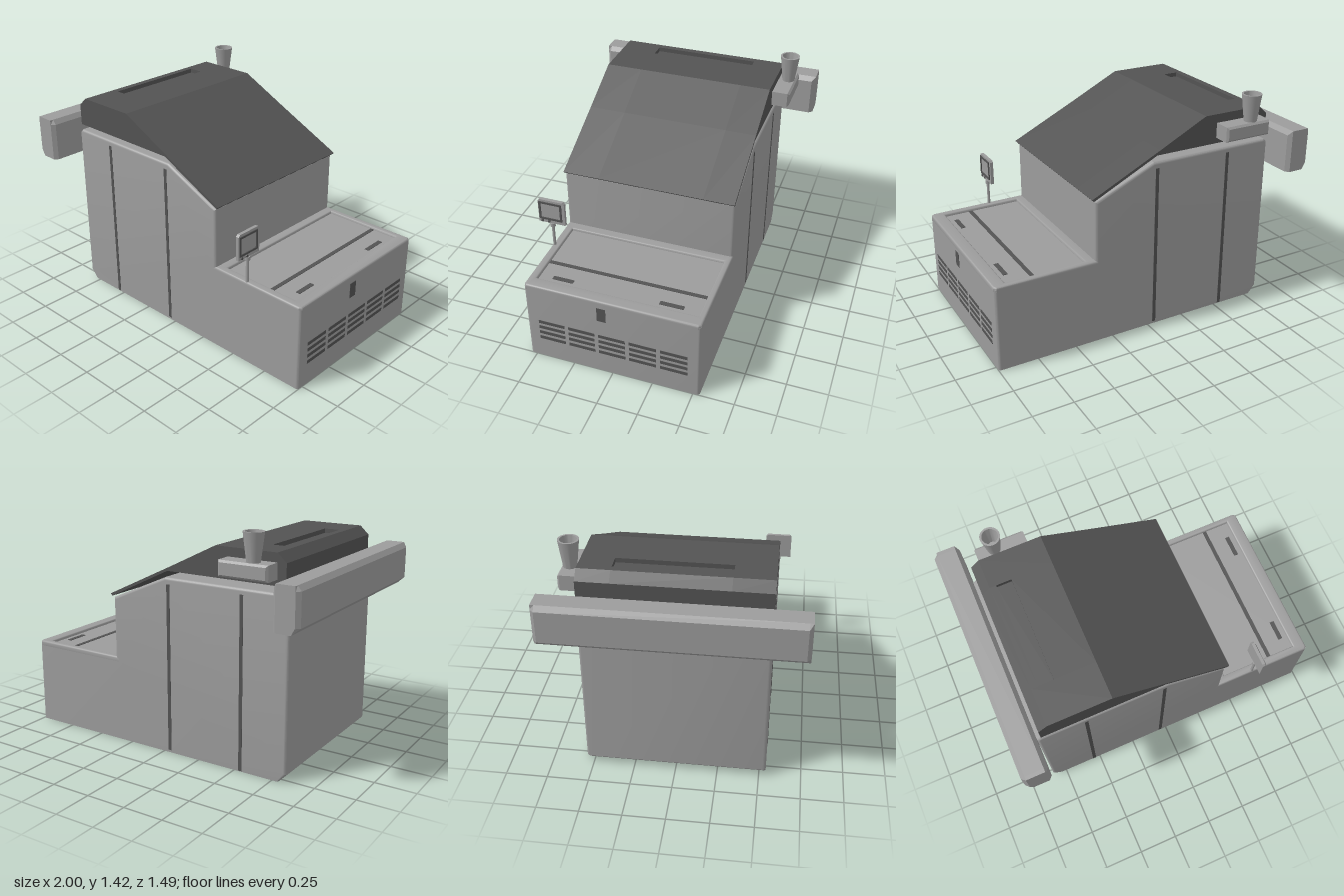
import * as THREE from 'three';
import { toCreasedNormals } from 'three/addons/utils/BufferGeometryUtils.js';

const shell = new THREE.MeshStandardMaterial({ color: 0x9c9c9c });
shell.name = 'light grey';
const dark = new THREE.MeshStandardMaterial({ color: 0x535353 });
dark.name = 'dark grey';

const outline = (points) => new THREE.Shape(points.map(([x, y]) => new THREE.Vector2(x, y)));
const rect = (x0, y0, x1, y1) => [[x0, y0], [x1, y0], [x1, y1], [x0, y1]];

function createModel() {
  const model = new THREE.Group();
  model.name = 'machine';

  const add = (name, geometry, material, parent = model) => {
    const mesh = new THREE.Mesh(geometry, material);
    mesh.name = name;
    parent.add(mesh);
    return mesh;
  };
  // Box given by its limits on each axis
  const block = (name, [x0, x1], [y0, y1], [z0, z1], material, parent) =>
    add(name, new THREE.BoxGeometry(x1 - x0, y1 - y0, z1 - z0), material, parent)
      .position.set((x0 + x1) / 2, (y0 + y1) / 2, (z0 + z1) / 2);
  // Side profile extruded from z0 to z1
  const slab = (points, z0, z1) =>
    new THREE.ExtrudeGeometry(outline(points), { depth: z1 - z0, bevelEnabled: false }).translate(0, 0, z0);

  // Body: stepped profile with rounded side edges, flat underside and deck
  const b = 0.018, deckY = 0.528;
  let body = new THREE.ExtrudeGeometry(outline([
    [-0.84, 0.05], [-0.79, 0], [1, 0], [1, deckY], [0.365, deckY],
    [0.365, 0.92], [-0.02, 1.09], [-0.82, 1.09], [-0.84, 1.07],
  ]), { depth: 1.08 - 2 * b, bevelThickness: b, bevelSize: b, bevelOffset: -b, bevelSegments: 5 });
  body.translate(0, 0, b - 0.54);
  const p = body.attributes.position;
  for (let i = 0; i < p.count; i++) {
    const y = p.getY(i);
    if (y < b + 0.002) p.setY(i, 0);
    else if (p.getX(i) > 0.34 && Math.abs(y - deckY) < b + 0.002) p.setY(i, deckY);
  }
  add('body', toCreasedNormals(body, 0.35), shell);

  // Deck rim around the sunken service panel
  const rim = outline([[0.34, -0.54], [0.985, -0.54], [1, -0.525], [1, 0.525], [0.985, 0.54], [0.34, 0.54]]);
  rim.holes.push(new THREE.Path(rect(0.42, -0.49, 0.92, 0.5).map(([x, y]) => new THREE.Vector2(x, y))));
  const rimB = 0.012;
  const rimGeometry = new THREE.ExtrudeGeometry(rim, {
    depth: 0.02, bevelThickness: rimB, bevelSize: rimB, bevelOffset: -rimB, bevelSegments: 3,
  });
  rimGeometry.rotateX(-Math.PI / 2).translate(0, 0.545 - 0.02 - rimB, 0);
  add('deckRim', toCreasedNormals(rimGeometry, 0.6), shell);
  block('deckSeam', [0.735, 0.76], [deckY - 0.002, deckY + 0.003], [-0.5, 0.49], dark);
  for (const z of [[-0.4, -0.255], [0.28, 0.41]]) {
    block('deckHandle', [0.86, 0.888], [deckY - 0.002, deckY + 0.003], z, dark);
  }

  // Vertical panel seams on both sides
  for (const side of [-1, 1]) {
    for (const [x, y0, y1] of [[-0.54, 0.004, 1.055], [-0.043, 0.015, 1.05]]) {
      block('panelSeam', [x - 0.011, x + 0.011], [y0, y1], [side * 0.54 - 0.002, side * 0.54 + 0.002], dark);
    }
  }

  // Vent slots and latch on the end face
  const vents = new THREE.Group();
  vents.name = 'vents';
  model.add(vents);
  for (const y of [0.151, 0.193, 0.234, 0.275]) {
    for (let col = -2; col <= 2; col++) {
      const z = col * 0.191;
      block('ventSlot', [0.998, 1.002], [y - 0.011, y + 0.011], [z - 0.083, z + 0.083], dark, vents);
    }
  }
  block('latch', [0.998, 1.002], [0.397, 0.494], [0.03, 0.085], dark);

  // Hood: constant section, notched between z = -0.35 and 0.31
  const hoodProfile = (notch) => [
    [-0.815, 1.13], [-0.04, 1.13], [0.375, 0.928], [0.387, 0.941], [-0.06, 1.158], [-0.37, 1.312],
    ...notch, [-0.76, 1.312], [-0.815, 1.26],
  ];
  const notch = [[-0.625, 1.312], [-0.625, 1.285], [-0.72, 1.285], [-0.72, 1.312]];
  add('hoodFront', slab(hoodProfile([]), 0.31, 0.54), dark);
  add('hoodMiddle', slab(hoodProfile(notch), -0.35, 0.31), dark);
  add('hoodBack', slab(hoodProfile([]), -0.54, -0.35), dark);

  // Cross beam with its vertical end edges chamfered
  const beam = new THREE.ExtrudeGeometry(outline([
    [-1, 0.975], [-0.955, 0.935], [-0.84, 0.935], [-0.84, 1.168],
    [-0.862, 1.197], [-0.975, 1.197], [-1, 1.168],
  ]), { depth: 3, steps: 3, bevelEnabled: false });
  const q = beam.attributes.position;
  const stations = [-0.745, -0.722, 0.722, 0.745];
  for (let i = 0; i < q.count; i++) {
    const step = Math.round(q.getZ(i));
    q.setZ(i, stations[step]);
    if (step % 3 === 0) q.setX(i, THREE.MathUtils.clamp(q.getX(i), -0.977, -0.861));
  }
  beam.computeVertexNormals();
  add('crossBeam', beam, shell);

  // Exhaust box and flared stack
  add('exhaustBox', new THREE.ExtrudeGeometry(outline(rect(-0.76, 1.165, -0.45, 1.258)), {
    depth: 0.1, bevelThickness: 0.012, bevelSize: 0.012, bevelOffset: -0.012, bevelSegments: 1,
  }).translate(0, 0, -0.638), shell);
  const stack = new THREE.LatheGeometry([
    [0.038, 1.25], [0.06, 1.425], [0.048, 1.425], [0.028, 1.3], [0, 1.3],
  ].map(([r, y]) => new THREE.Vector2(r, y)), 32);
  add('exhaustStack', toCreasedNormals(stack, 0.6), shell).position.set(-0.648, 0, -0.6);

  // Control panel on its post
  const panel = new THREE.Group();
  panel.name = 'controlPanel';
  model.add(panel);
  add('post', new THREE.CylinderGeometry(0.009, 0.009, 0.19, 16), shell, panel).position.set(0.601, 0.625, 0.528);
  add('postCollar', new THREE.CylinderGeometry(0.016, 0.016, 0.024, 16), shell, panel).position.set(0.601, 0.697, 0.528);
  // Shapes here are drawn as (-z, y) and turned to face +x
  const facing = (shape, depth, x) =>
    new THREE.ExtrudeGeometry(shape, { depth, bevelEnabled: false }).rotateY(Math.PI / 2).translate(x, 0, 0);
  add('panelCase', facing(outline([
    [-0.612, 0.712], [-0.44, 0.712], [-0.44, 0.862], [-0.452, 0.874], [-0.6, 0.874], [-0.612, 0.862],
  ]), 0.02, 0.591), shell, panel);
  const bezel = outline(rect(-0.606, 0.736, -0.458, 0.86));
  bezel.holes.push(new THREE.Path(rect(-0.594, 0.748, -0.47, 0.848).map(([x, y]) => new THREE.Vector2(x, y))));
  add('screenBezel', facing(bezel, 0.007, 0.61), dark, panel);
  for (const z of [0.588, 0.545]) {
    const knob = add('knob', new THREE.CylinderGeometry(0.008, 0.008, 0.008, 16), dark, panel);
    knob.rotation.z = -Math.PI / 2;
    knob.position.set(0.613, 0.723, z);
  }

  return model;
}

export { createModel };
